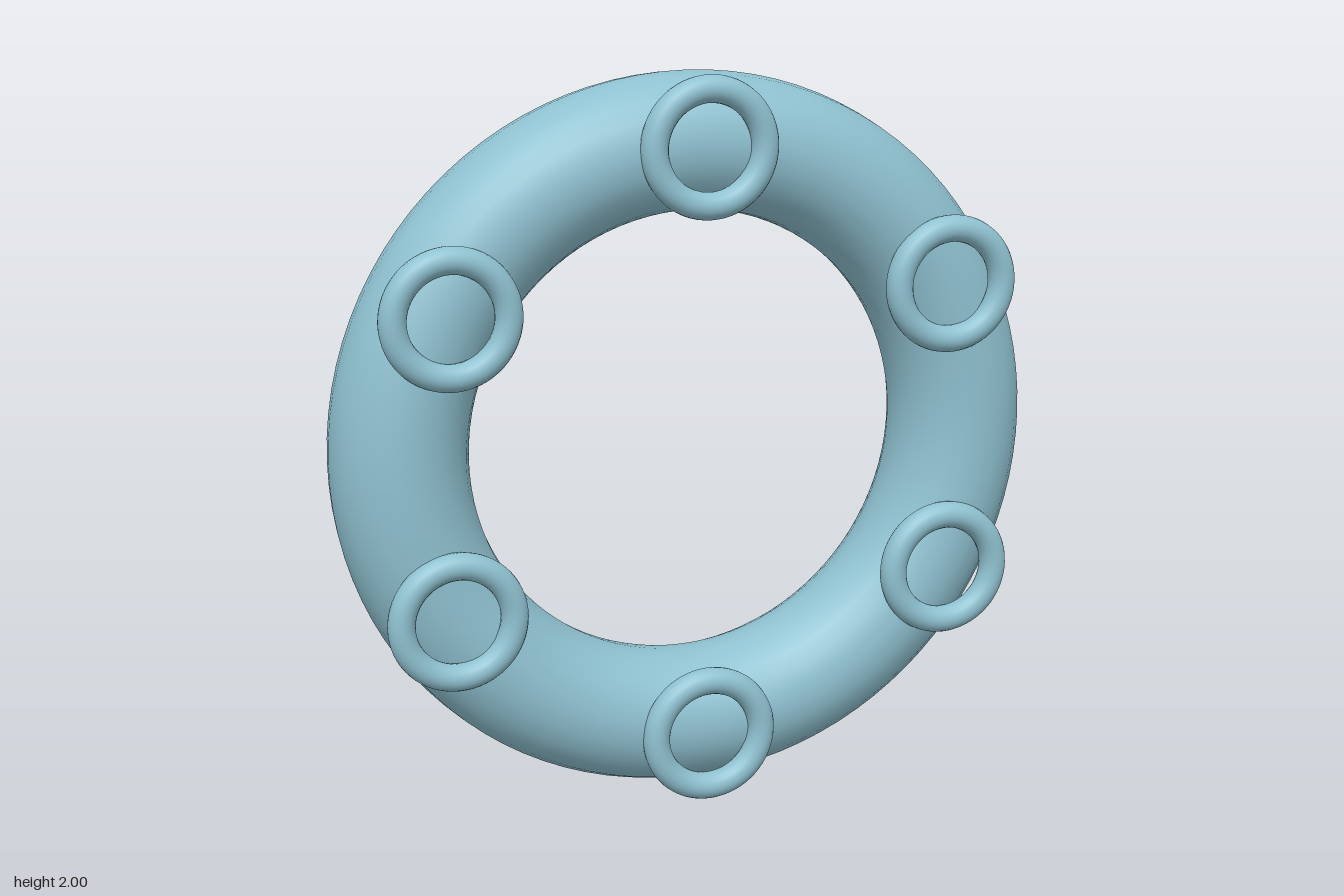
import * as THREE from 'three';

export function createModel() {
  const model = new THREE.Group();
  const material = new THREE.MeshStandardMaterial({ color: 0x8fc1d0 });
  const ringRadius = 0.81;

  // Large ring standing upright
  const mainRing = new THREE.Mesh(new THREE.TorusGeometry(0.807, 0.186, 24, 96), material);
  mainRing.name = 'mainRing';
  mainRing.position.set(0, 1, -0.019);
  model.add(mainRing);

  // Six small rings spaced evenly over the front face
  const smallRings = new THREE.Group();
  smallRings.name = 'smallRings';
  const smallGeometry = new THREE.TorusGeometry(0.153, 0.037, 20, 64);
  for (let i = 0; i < 6; i++) {
    const angle = Math.PI / 2 + (i * Math.PI) / 3;
    const ring = new THREE.Mesh(smallGeometry, material);
    ring.name = `smallRing${i + 1}`;
    ring.position.set(ringRadius * Math.cos(angle), 1 + ringRadius * Math.sin(angle), 0.168);
    smallRings.add(ring);
  }
  model.add(smallRings);

  return model;
}
